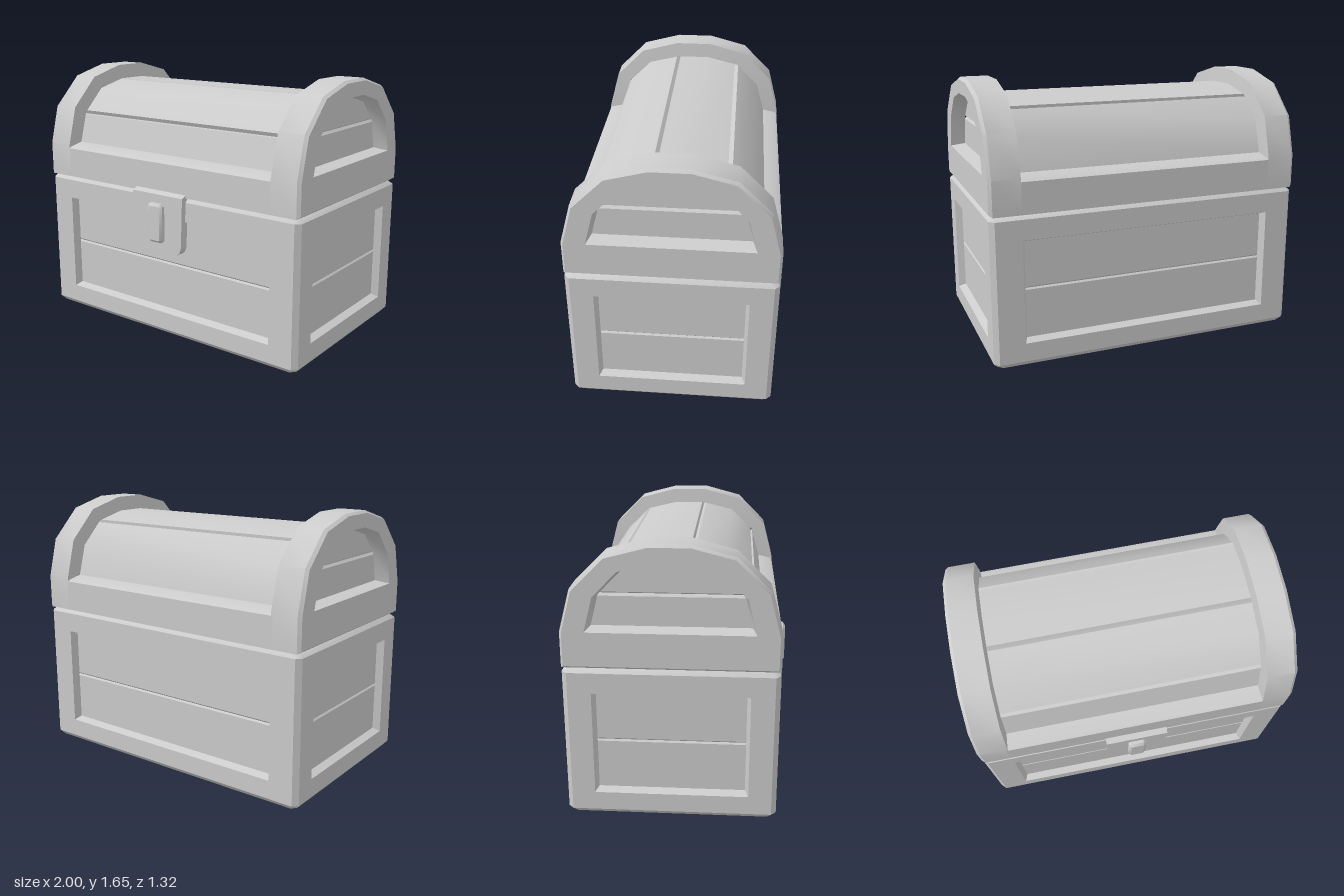
import * as THREE from 'three';
import { toCreasedNormals } from 'three/addons/utils/BufferGeometryUtils.js';

const HALF_X = 1, HALF_Z = 0.622, CHAMFER = 0.03;
const material = new THREE.MeshStandardMaterial({ color: 0xcccccc });

function addMesh(parent, name, geometry, angle = 0.6) {
  const mesh = new THREE.Mesh(toCreasedNormals(geometry, angle), material);
  mesh.name = name;
  parent.add(mesh);
  return mesh;
}

// Skin a series of closed loops with equal point counts; skip(band, i) leaves quads out
function loft(loops, skip = () => false) {
  const pos = [];
  const tri = (a, b, c) => {
    if (a.equals(b) || b.equals(c) || c.equals(a)) return;
    for (const p of [a, b, c]) pos.push(p.x, p.y, p.z);
  };
  for (let k = 0; k + 1 < loops.length; k++) {
    const a = loops[k], b = loops[k + 1], n = a.length;
    for (let i = 0; i < n; i++) {
      if (skip(k, i)) continue;
      const j = (i + 1) % n;
      tri(a[i], a[j], b[j]);
      tri(a[i], b[j], b[i]);
    }
  }
  const g = new THREE.BufferGeometry();
  g.setAttribute('position', new THREE.Float32BufferAttribute(pos, 3));
  g.computeVertexNormals();
  return g;
}

// Mirror a half outline [halfWidth, y], bottom to top, into a closed outline
function mirrored(half) {
  const right = half.map(([h, y]) => new THREE.Vector2(h, y));
  const left = half.map(([h, y]) => new THREE.Vector2(-h, y)).reverse();
  return [left[left.length - 1], ...right, ...left.slice(0, -1)];
}
const atDepth = (outline, z) => outline.map(p => new THREE.Vector3(p.x, p.y, z));
const rect = (w, y0, y1) => mirrored([[w, y0], [w, y1]]);

// Bevelled board whose front lies at z
function board(outline, z, bevel, thickness = 0.05) {
  const g = new THREE.ExtrudeGeometry(new THREE.Shape(outline), {
    depth: thickness - 2 * bevel, bevelEnabled: true, bevelSegments: 1,
    bevelSize: bevel, bevelThickness: bevel, bevelOffset: -bevel,
  });
  return g.translate(0, 0, z - thickness + bevel);
}

function buildBody(parent) {
  // Chamfered shell without its four flat sides
  const ring = (y, inset) => {
    const X = HALF_X - inset, Z = HALF_Z - inset, c = CHAMFER;
    return [[X, Z - c], [X, c - Z], [X - c, -Z], [c - X, -Z], [-X, c - Z], [-X, Z - c], [c - X, Z], [X - c, Z]]
      .map(([x, z]) => new THREE.Vector3(x, y, z));
  };
  const centre = y => Array.from({ length: 8 }, () => new THREE.Vector3(0, y, 0));
  addMesh(parent, 'bodyShell', loft(
    [centre(0), ring(0, 0.025), ring(0.03, 0), ring(0.91, 0), ring(0.935, 0.025), ring(0.95, 0.025), centre(0.95)],
    (band, i) => band === 2 && i % 2 === 0));

  // Framed sides with recessed planks
  const depth = 0.045;
  for (let s = 0; s < 4; s++) {
    const wide = s % 2 === 0;
    const W = wide ? HALF_X : HALF_Z, D = wide ? HALF_Z : HALF_X, hole = wide ? 0.81 : 0.455;
    const side = new THREE.Group();
    side.name = ['frontSide', 'leftSide', 'backSide', 'rightSide'][s];
    side.rotation.y = s * Math.PI / 2;
    addMesh(side, 'sideFrame', loft([
      atDepth(rect(W - CHAMFER, 0.03, 0.91), D),
      atDepth(rect(hole, 0.145, 0.785), D),
      atDepth(rect(hole - 0.02, 0.165, 0.768), D - depth),
    ]));
    for (const [y0, y1] of [[0.12, 0.475], [0.475, 0.81]])
      addMesh(side, 'sidePlank', board(rect(hole + 0.02, y0, y1), D - depth, 0.01));
    parent.add(side);
  }
}

function buildLid(parent) {
  const outer = mirrored([[0.622, 0.937], [0.622, 1.15], [0.555, 1.4], [0.365, 1.59], [0.118, 1.655]]);
  const inset = mirrored([[0.607, 0.952], [0.607, 1.148], [0.543, 1.392], [0.357, 1.577], [0.116, 1.64]]);
  const hole = mirrored([[0.48, 1.155], [0.48, 1.155], [0.427, 1.36], [0.285, 1.505], [0.096, 1.555]]);
  const floor = mirrored([[0.455, 1.17], [0.455, 1.17], [0.41, 1.35], [0.277, 1.488], [0.094, 1.537]]);
  const barrelHalf = [[0.525, 1.15], [0.465, 1.36], [0.312, 1.51], [0.105, 1.56]];
  const inner = mirrored([barrelHalf[0], ...barrelHalf]);

  // Arched end hoops with recessed planks
  for (const s of [1, -1]) {
    const end = new THREE.Group();
    end.name = s > 0 ? 'leftLidEnd' : 'rightLidEnd';
    end.rotation.y = s * Math.PI / 2;
    addMesh(end, 'lidHoop', loft([
      atDepth(inner, 0.8), atDepth(outer, 0.81), atDepth(outer, 0.98),
      atDepth(inset, 1), atDepth(hole, 1), atDepth(floor, 0.91),
    ]));
    addMesh(end, 'lidEndPlank', board(mirrored([[0.49, 1.12], [0.43, 1.358]]), 0.91, 0.015));
    addMesh(end, 'lidEndPlank', board(
      mirrored([[0.435, 1.358], [0.3, 1.52], [0.1, 1.57]]), 0.91, 0.015));
    parent.add(end);
  }

  // Barrel roof with V grooves along three plank seams
  const profile = [], base = mirrored(barrelHalf), axis = new THREE.Vector2(0, 1.1);
  base.forEach((p, i) => {
    if (![3, 5, 7].includes(i)) return profile.push(p);
    const toward = q => p.clone().add(q.clone().sub(p).setLength(0.015));
    profile.push(toward(base[i - 1]), p.clone().lerp(axis, 0.05), toward(base[(i + 1) % base.length]));
  });
  const along = (outline, x) => loft([atDepth(outline, -x), atDepth(outline, x)]).rotateY(Math.PI / 2);
  addMesh(parent, 'lidRoof', along(profile, 0.85));

  // Lower rail with a sloping ledge
  const rail = mirrored([[0.622, 0.937], [0.622, 1.13], [0.606, 1.14], [0.51, 1.165]]);
  addMesh(parent, 'lidRail', along(rail, 0.82));
}

function buildClasp(parent) {
  // Hanging plate with round lower corners and a sloped top edge
  const plate = new THREE.Shape();
  plate.moveTo(-0.2, 0.965);
  plate.lineTo(-0.188, 0.64);
  plate.quadraticCurveTo(-0.185, 0.565, -0.12, 0.565);
  plate.lineTo(0.12, 0.565);
  plate.quadraticCurveTo(0.185, 0.565, 0.188, 0.64);
  plate.lineTo(0.2, 0.965);
  const g = new THREE.ExtrudeGeometry(plate, { depth: 0.055, bevelEnabled: false, curveSegments: 6 });
  g.translate(0, 0, 0.57);
  const p = g.attributes.position;
  for (let i = 0; i < p.count; i++)
    if (p.getY(i) > 0.96 && p.getZ(i) > 0.6) p.setY(i, 0.94);
  g.computeVertexNormals();
  addMesh(parent, 'claspPlate', g);

  // Raised latch with clipped corners
  const latch = mirrored([[0.042, 0.635], [0.057, 0.65], [0.057, 0.87], [0.042, 0.885]]);
  addMesh(parent, 'claspLatch', board(latch, 0.66, 0.015, 0.06));
}

export function createModel() {
  const model = new THREE.Group();
  model.name = 'chest';
  const box = new THREE.Group();
  box.name = 'box';
  box.position.z = -0.033;
  buildBody(box);
  const lid = new THREE.Group();
  lid.name = 'lid';
  lid.position.z = -0.033;
  buildLid(lid);
  const clasp = new THREE.Group();
  clasp.name = 'clasp';
  buildClasp(clasp);
  model.add(box, lid, clasp);
  return model;
}
